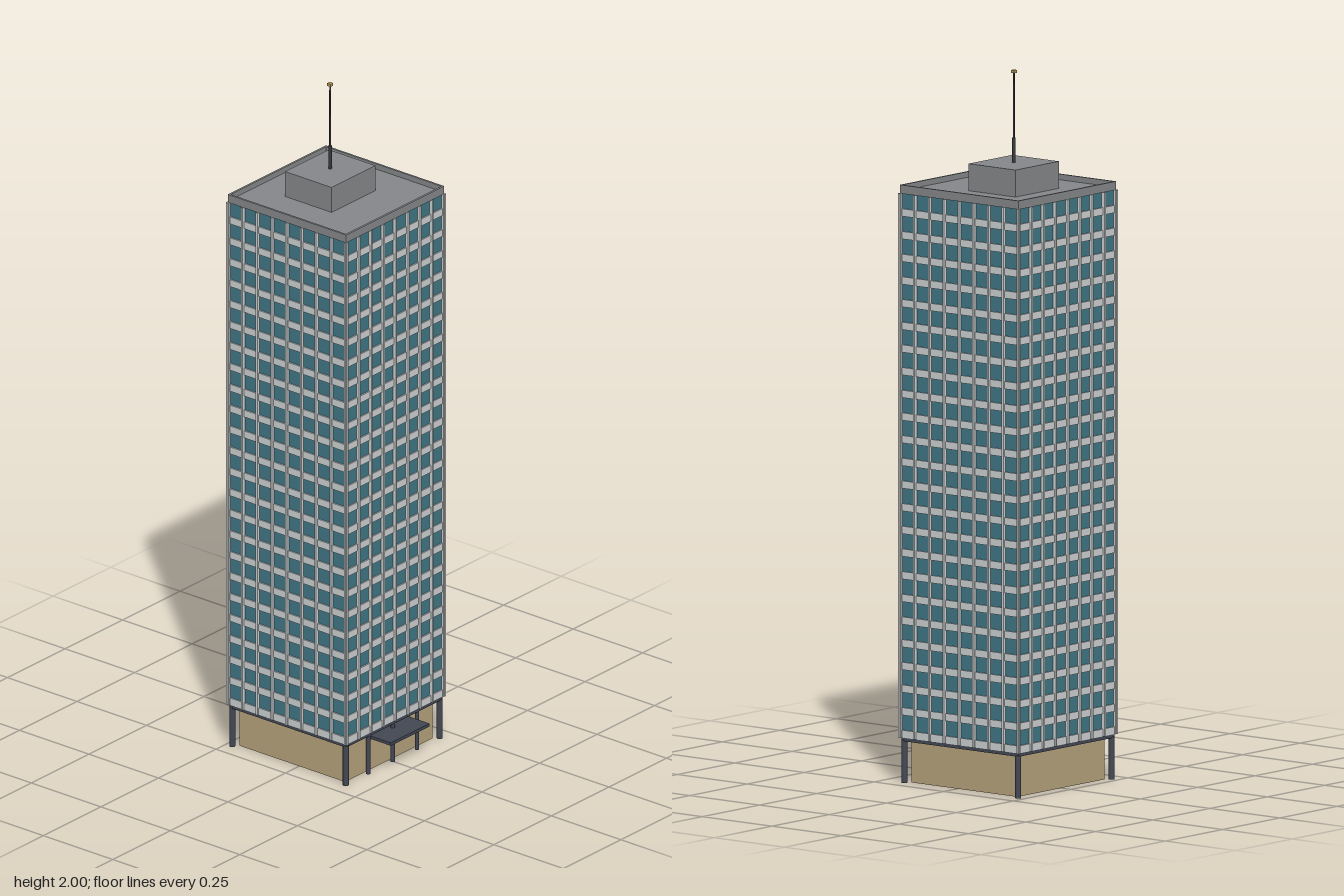
import * as THREE from 'three';

const mat = (name, color) => {
  const m = new THREE.MeshStandardMaterial({ color });
  m.name = name;
  return m;
};

export function createModel() {
  const stone = mat('pale concrete', 0xcdd0d1);
  const glass = mat('teal glass', 0x3f7685);
  const tan = mat('tan lobby', 0xb5a27c);
  const slate = mat('dark slate', 0x424753);
  const roofGrey = mat('roof grey', 0x858689);
  const mastDark = mat('mast dark', 0x35363c);
  const beaconMat = mat('beacon amber', 0xb89b62);

  const model = new THREE.Group();
  model.name = 'officeTower';
  // Everything but the canopy is centred on the tower axis
  const tower = new THREE.Group();
  tower.name = 'tower';
  tower.position.z = -0.025;
  model.add(tower);

  const add = (parent, name, geo, material, x, y, z) => {
    const m = new THREE.Mesh(geo, material);
    m.name = name;
    m.position.set(x, y, z);
    parent.add(m);
    return m;
  };
  // Box given by its bottom height
  const box = (parent, name, material, w, h, d, x, y0, z) =>
    add(parent, name, new THREE.BoxGeometry(w, h, d), material, x, y0 + h / 2, z);
  // Group turned to each of the four sides, local +z pointing outwards
  const fourSides = (name, build) => {
    for (let i = 0; i < 4; i++) {
      const side = new THREE.Group();
      side.name = name;
      side.rotation.y = (i * Math.PI) / 2;
      build(side);
      tower.add(side);
    }
  };

  const base = 0.127, top = 1.656, half = 0.212;
  const floors = 24, bays = 8;
  const storey = (top - base) / floors;

  // Ground floor: hollow lobby, soffit and columns
  fourSides('lobbySide', (s) => box(s, 'lobbyWall', tan, 0.38, 0.118, 0.004, 0, 0, 0.188));
  box(tower, 'soffit', slate, 0.42, 0.01, 0.42, 0, 0.117, 0);
  const column = (r, x, z) =>
    add(tower, 'column', new THREE.CylinderGeometry(r, r, 0.12, 12), slate, x, 0.06, z);
  for (const x of [-0.204, 0.204]) for (const z of [-0.204, 0.204]) column(0.0085, x, z);
  for (const x of [-0.106, 0, 0.106]) column(0.006, x, 0.204);
  box(model, 'canopy', slate, 0.168, 0.009, 0.08, 0, 0.095, 0.2015);

  // Glass core with a spandrel band at each floor
  box(tower, 'glassCore', glass, 0.416, top - base, 0.416, 0, base, 0);
  for (let i = 0; i < floors; i++) {
    box(tower, 'spandrelBand', stone, half * 2, 0.021, half * 2, 0, base + i * storey, 0);
  }

  // Vertical fins dividing the bays
  fourSides('finSide', (s) => {
    for (let i = 0; i <= bays; i++) {
      const x = -half + (i * half * 2) / bays;
      box(s, 'fin', stone, 0.006, top - base, 0.011, x, base, 0.212);
    }
  });

  // Roof, parapet and plant room
  box(tower, 'roof', roofGrey, 0.424, 0.008, 0.424, 0, top, 0);
  fourSides('parapetSide', (s) => box(s, 'parapet', roofGrey, 0.426, 0.024, 0.006, 0, top, 0.21));
  box(tower, 'plantRoom', roofGrey, 0.19, 0.078, 0.168, 0, 1.662, -0.021);

  // Mast with a beacon
  add(tower, 'mastBase', new THREE.CylinderGeometry(0.005, 0.005, 0.07, 8), mastDark, 0, 1.775, -0.021);
  add(tower, 'mast', new THREE.CylinderGeometry(0.0025, 0.003, 0.185, 8), mastDark, 0, 1.9025, -0.021);
  box(tower, 'beacon', beaconMat, 0.012, 0.008, 0.012, 0, 1.992, -0.021);

  return model;
}
